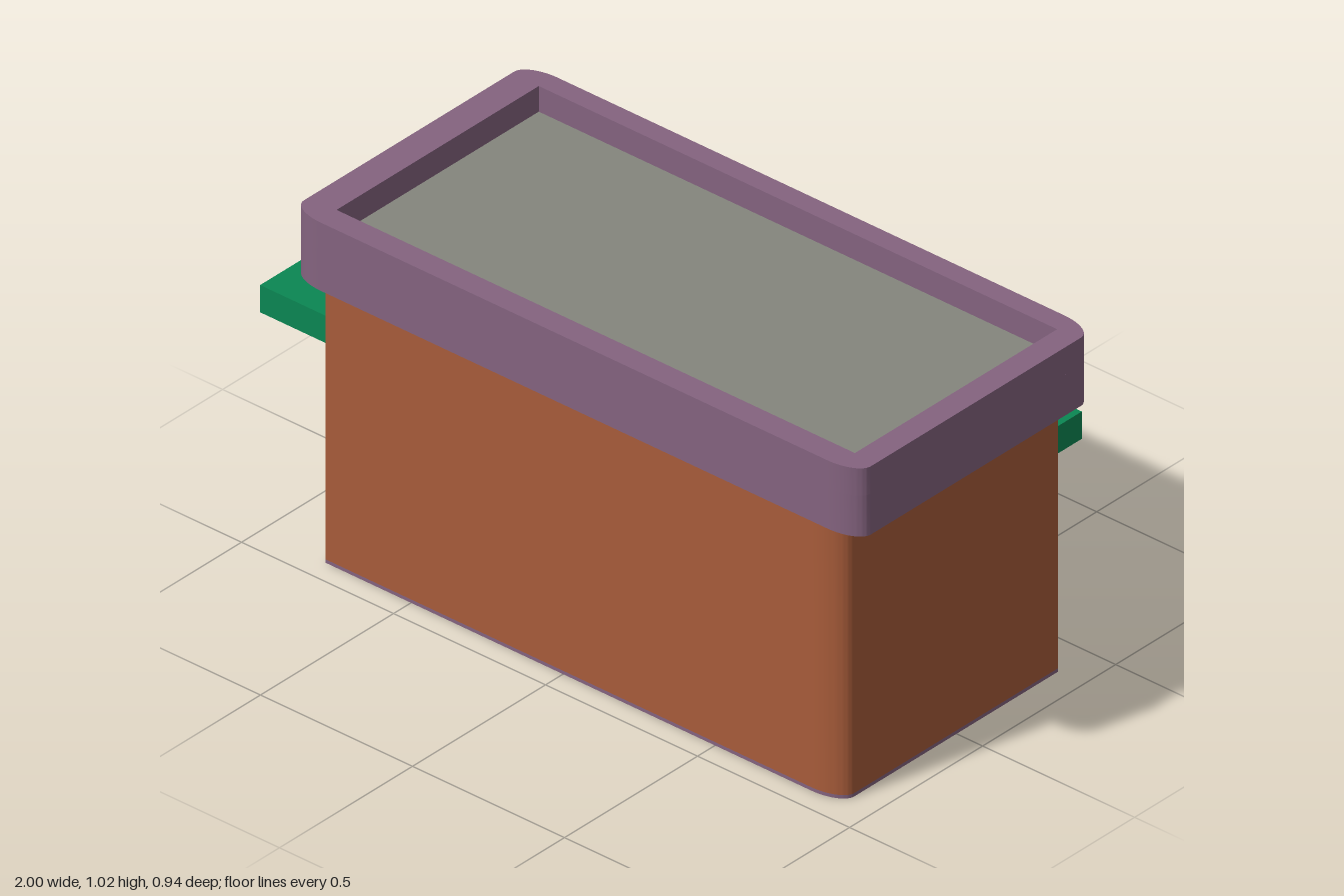
import * as THREE from 'three';
import { toCreasedNormals } from 'three/addons/utils/BufferGeometryUtils.js';

const flat = (name, color) => Object.assign(new THREE.MeshStandardMaterial({ color }), { name });

export function createModel() {
  const brick = flat('brick', 0xa85c3a);
  const trim = flat('purple trim', 0x84637f);
  const green = flat('canopy green', 0x0b8753);
  const grey = flat('grey', 0x84857d);
  const glass = flat('glass blue', 0x4a9cc4);

  const building = new THREE.Group();
  building.name = 'kiosk';

  const add = (name, geometry, material, parent = building) => {
    const mesh = new THREE.Mesh(geometry, material);
    mesh.name = name;
    parent.add(mesh);
    return mesh;
  };
  const box = (name, material, x0, x1, y0, y1, z0, z1, parent) =>
    add(name, new THREE.BoxGeometry(x1 - x0, y1 - y0, z1 - z0), material, parent)
      .position.set((x0 + x1) / 2, (y0 + y1) / 2, (z0 + z1) / 2);

  // Floor plan drawn as (x, -z), raised from y0 to y1
  const raise = (shape, y0, y1) => {
    const g = new THREE.ExtrudeGeometry(shape, { depth: y1 - y0, bevelEnabled: false, curveSegments: 8 });
    g.rotateX(-Math.PI / 2).translate(0, y0, 0);
    return toCreasedNormals(g, 0.6);
  };
  const polygon = (points, Type = THREE.Shape) => new Type(points.map(([x, y]) => new THREE.Vector2(x, y)));
  const rect = (x0, x1, y0, y1, Type) => polygon([[x0, y0], [x1, y0], [x1, y1], [x0, y1]], Type);

  // Main block with one rounded front corner
  const rx = 0.1, rz = 0.05, back = -0.38, recess = -0.28;
  const blockPlan = new THREE.Shape();
  blockPlan.moveTo(-0.78, -recess);
  blockPlan.lineTo(-0.78, -0.435);
  blockPlan.lineTo(0.915 - rx, -0.435);
  blockPlan.absellipse(0.915 - rx, -0.435 + rz, rx, rz, -Math.PI / 2, 0, false);
  blockPlan.lineTo(0.915, -recess);
  blockPlan.closePath();
  add('mainBlock', raise(blockPlan, 0.01, 0.82), brick);
  add('floor', raise(blockPlan, 0, 0.01), trim);

  // Back wall with door opening and window hole
  const door = { x0: 0.305, x1: 0.73, top: 0.64 };
  const win = { x0: -0.66, x1: 0.185, y0: 0.165, y1: 0.54 };
  const wall = polygon([
    [-0.78, 0.01], [door.x0, 0.01], [door.x0, door.top], [door.x1, door.top],
    [door.x1, 0.01], [0.915, 0.01], [0.915, 0.82], [-0.78, 0.82],
  ]);
  wall.holes.push(rect(win.x0, win.x1, win.y0, win.y1, THREE.Path));
  const wallGeometry = new THREE.ExtrudeGeometry(wall, { depth: recess - back, bevelEnabled: false });
  add('backWall', wallGeometry.translate(0, 0, back), brick);
  box('floorEdge', trim, -0.78, door.x0, 0, 0.01, back, recess);
  box('floorEdge', trim, door.x1, 0.915, 0, 0.01, back, recess);

  // Window pane and glazed door
  box('windowGlass', glass, win.x0, win.x1, win.y0, win.y1, -0.358, -0.35);
  box('doorFrame', trim, 0.36, door.x1, 0, 0.63, -0.288, recess);
  box('doorGlass', glass, 0.38, 0.69, 0.005, 0.6, -0.294, -0.287);

  // Tilted shutter slats
  const shutter = (name, x0, x1, top, count, z) => {
    const group = new THREE.Group();
    group.name = name;
    const slat = new THREE.BoxGeometry(x1 - x0, 0.046, 0.006);
    for (let i = 0; i < count; i++) {
      const mesh = add('slat', slat, grey, group);
      mesh.position.set((x0 + x1) / 2, top - 0.046 * i, z);
      mesh.rotation.x = 0.35;
    }
    building.add(group);
  };
  shutter('windowShutter', win.x0, win.x1, 0.505, 7, -0.38);
  shutter('doorShutter', door.x0, door.x1, 0.62, 14, -0.35);

  // L-shaped canopy along the back and right side
  const canopy = polygon([
    [-1, 0.47], [-1, -0.43], [-0.78, -0.43], [-0.78, 0.38], [0.915, 0.38], [0.915, 0.47],
  ]);
  add('canopy', raise(canopy, 0.64, 0.72), green);

  // Roof slab and parapet with rounded corners
  const roofPlan = () => {
    const s = new THREE.Shape(), x0 = -0.865, x1 = 1, y0 = -0.47, y1 = 0.42, q = Math.PI / 2;
    s.moveTo(x0 + rx, y0);
    [[x1 - rx, y0 + rz], [x1 - rx, y1 - rz], [x0 + rx, y1 - rz], [x0 + rx, y0 + rz]]
      .forEach(([x, y], i) => s.absellipse(x, y, rx, rz, (i - 1) * q, i * q, false));
    return s;
  };
  add('roofSlab', raise(roofPlan(), 0.82, 0.94), trim);
  const parapet = roofPlan();
  parapet.holes.push(rect(-0.775, 0.93, -0.4, 0.36, THREE.Path));
  add('parapet', raise(parapet, 0.94, 1.02), trim);
  box('roofDeck', grey, -0.775, 0.93, 0.938, 0.945, -0.36, 0.4);

  return building;
}
